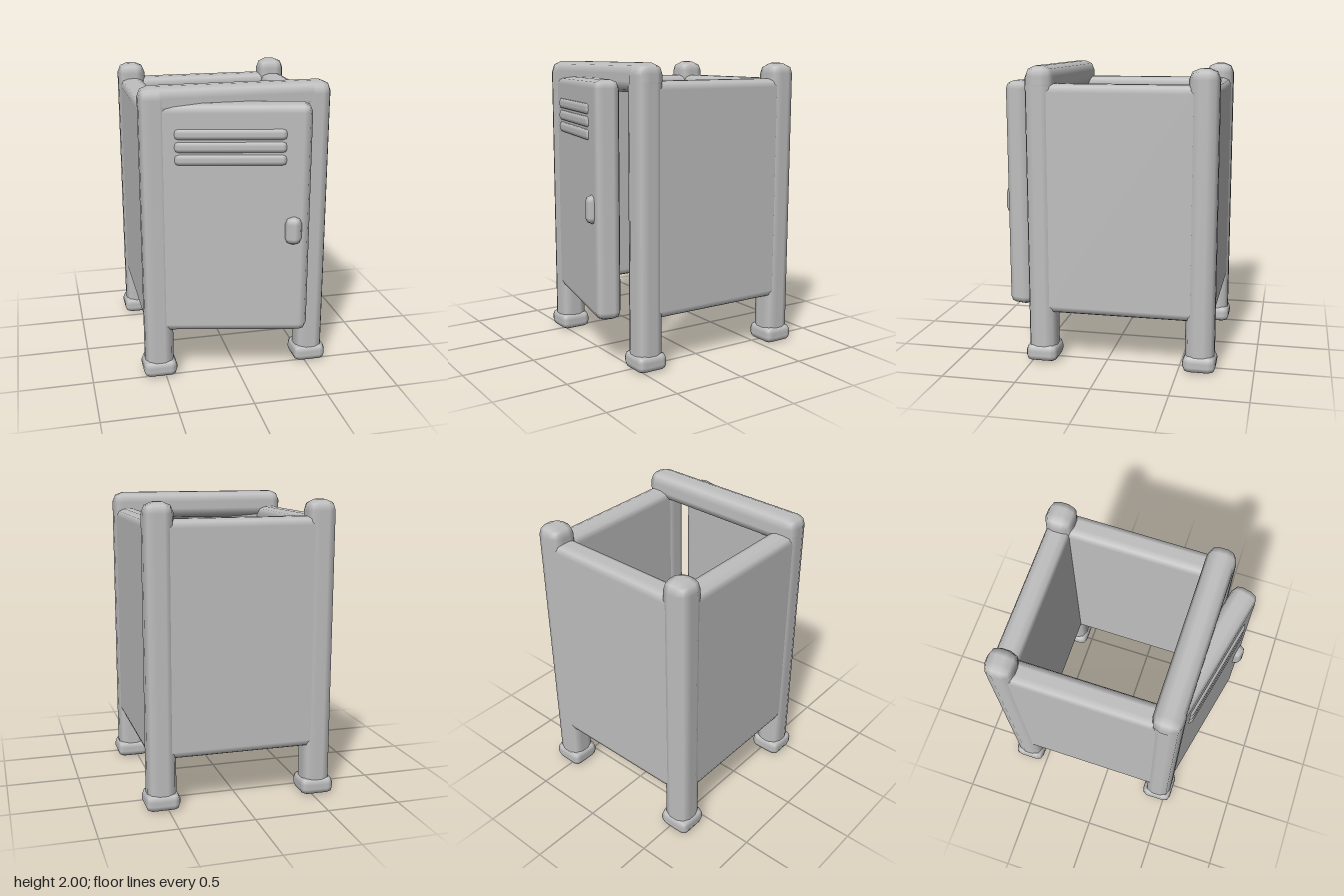
import * as THREE from 'three';
import { RoundedBoxGeometry } from 'three/addons/geometries/RoundedBoxGeometry.js';

const grey = new THREE.MeshStandardMaterial({ color: 0xbfbfbf });
grey.name = 'painted grey metal';

// Softly bevelled box: size [x, y, z], centre [x, y, z]
function softBox(name, size, centre, radius) {
  const mesh = new THREE.Mesh(new RoundedBoxGeometry(...size, 1, radius), grey);
  mesh.name = name;
  mesh.position.set(...centre);
  return mesh;
}

function createDoor() {
  const door = new THREE.Group();
  door.name = 'door';
  door.add(softBox('doorPanel', [1.0, 1.56, 0.17], [0, 1.115, 0], 0.055));
  // Three ventilation ribs
  for (let i = 0; i < 3; i++) {
    door.add(softBox('ventRib', [0.725, 0.082, 0.07], [-0.018, 1.54 + i * 0.083, 0.066], 0.033));
  }
  door.add(softBox('doorHandle', [0.11, 0.19, 0.1], [0.392, 1.065, 0.08], 0.046));
  // Ajar, hinged at the post on -x
  door.position.set(-0.0385, 0, 0.5405);
  door.rotation.y = -0.217;
  return door;
}

export function createModel() {
  const model = new THREE.Group();
  model.name = 'locker';

  for (const side of [-1, 1]) {
    const x = side * 0.535;
    // Corner posts with feet
    for (const [end, z] of [['front', 0.435], ['back', -0.64]]) {
      model.add(softBox(end + 'Post', [0.195, 1.95, 0.195], [x, 1.015, z], 0.07));
      model.add(softBox(end + 'Foot', [0.23, 0.12, 0.22], [x, 0.06, z], 0.045));
    }
    // Side walls
    model.add(softBox('sidePanel', [0.17, 1.545, 1.06], [x, 1.1125, -0.1], 0.055));
  }

  // Back wall and the beam over the door
  model.add(softBox('backPanel', [1.06, 1.545, 0.165], [0, 1.1125, -0.6425], 0.055));
  model.add(softBox('frontBeam', [1.27, 0.19, 0.19], [0, 1.905, 0.432], 0.07));

  model.add(createDoor());
  return model;
}
